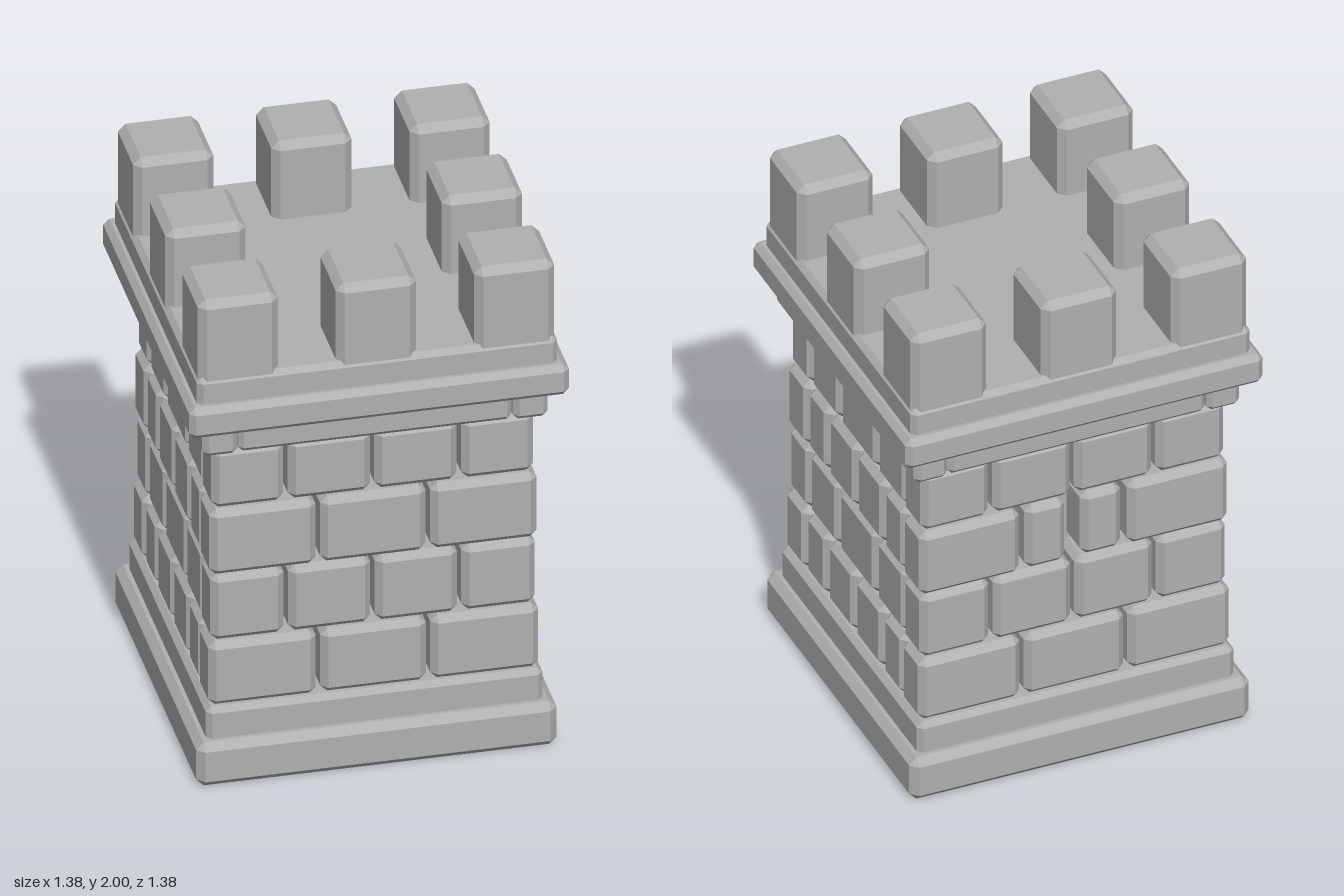
import * as THREE from 'three';
import { ConvexGeometry } from 'three/addons/geometries/ConvexGeometry.js';

const stone = new THREE.MeshStandardMaterial({ color: 0xb0b0b0 });
stone.name = 'grey stone';

// Box with chamfered edges, given by its limits on each axis
function block(name, [x0, x1], [y0, y1], [z0, z1], bevel = 0.025) {
  const h = [(x1 - x0) / 2, (y1 - y0) / 2, (z1 - z0) / 2];
  const points = [];
  for (const sx of [-1, 1]) for (const sy of [-1, 1]) for (const sz of [-1, 1]) {
    for (let full = 0; full < 3; full++) {
      const p = h.map((v, i) => (i === full ? v : v - bevel));
      points.push(new THREE.Vector3(sx * p[0], sy * p[1], sz * p[2]));
    }
  }
  const mesh = new THREE.Mesh(new ConvexGeometry(points), stone);
  mesh.position.set((x0 + x1) / 2, (y0 + y1) / 2, (z0 + z1) / 2);
  mesh.name = name;
  return mesh;
}

const slab = (name, half, y, bevel) => block(name, [-half, half], y, [-half, half], bevel);

// One course: long bricks front and back, short ones between them on the sides
function course(index, half, y, frontSeams, sideSeams) {
  const group = new THREE.Group();
  group.name = 'brickCourse' + index;
  const thick = 0.17, gap = 0.008;
  const spans = (end, seams) => {
    const cuts = [-end, ...seams, end];
    return cuts.slice(1).map((b, i) => [
      cuts[i] + (i > 0 ? gap : 0),
      b - (i < seams.length ? gap : 0),
    ]);
  };
  const inner = half - thick;
  spans(half, frontSeams).forEach((x, i) => {
    group.add(block('frontBrick', x, y, [inner, half]));
    // The back of the third course has a narrow slot in its middle brick
    if (index === 3 && i === 1) {
      for (const s of [[-0.185, -0.03], [0.03, 0.185]]) {
        group.add(block('slotBrick', s, y, [-half + 0.005, -inner]));
      }
    } else {
      group.add(block('backBrick', x, y, [-half, -inner]));
    }
  });
  for (const z of spans(inner - 0.004, sideSeams)) {
    group.add(block('rightBrick', [inner, half - 0.005], y, z));
    group.add(block('leftBrick', [-half + 0.005, -inner], y, z));
  }
  return group;
}

export function createModel() {
  const tower = new THREE.Group();
  tower.name = 'tower';

  // Stepped base
  tower.add(slab('baseSlab', 0.655, [0, 0.178], 0.028));
  tower.add(slab('baseStep', 0.612, [0.15, 0.3], 0.02));

  // Recessed core behind the joints, then the brick courses
  tower.add(slab('core', 0.45, [0.25, 1.27], 0.01));
  const wide = [-0.2, 0.2], wideSide = [-0.245, 0, 0.245];
  const narrow = [-0.315, 0, 0.315], narrowSide = [-0.165, 0.165];
  tower.add(course(1, 0.6, [0.298, 0.558], wide, wideSide));
  tower.add(course(2, 0.59, [0.56, 0.83], narrow, narrowSide));
  tower.add(course(3, 0.595, [0.832, 1.1], wide, wideSide));
  tower.add(course(4, 0.585, [1.102, 1.348], narrow, narrowSide));

  // Ring of beams under the platform
  for (const s of [-1, 1]) {
    const span = (a, b) => (s > 0 ? [a, b] : [-b, -a]);
    tower.add(block('sideBeam', span(0.5, 0.628), [1.345, 1.49], [-0.625, 0.625], 0.02));
    tower.add(block('endBeam', [-0.498, 0.498], [1.345, 1.49], span(0.43, 0.618), 0.02));
  }

  // Platform and parapet
  tower.add(slab('platform', 0.69, [1.463, 1.587], 0.022));
  tower.add(slab('parapet', 0.655, [1.55, 1.69], 0.02));

  // Eight merlons around the edge
  for (const x of [-1, 0, 1]) for (const z of [-1, 0, 1]) {
    if (x === 0 && z === 0) continue;
    const range = (c) => [c * 0.502 - 0.146, c * 0.502 + 0.146];
    tower.add(block('merlon', range(x), [1.64, 2], range(z), 0.028));
  }
  return tower;
}
